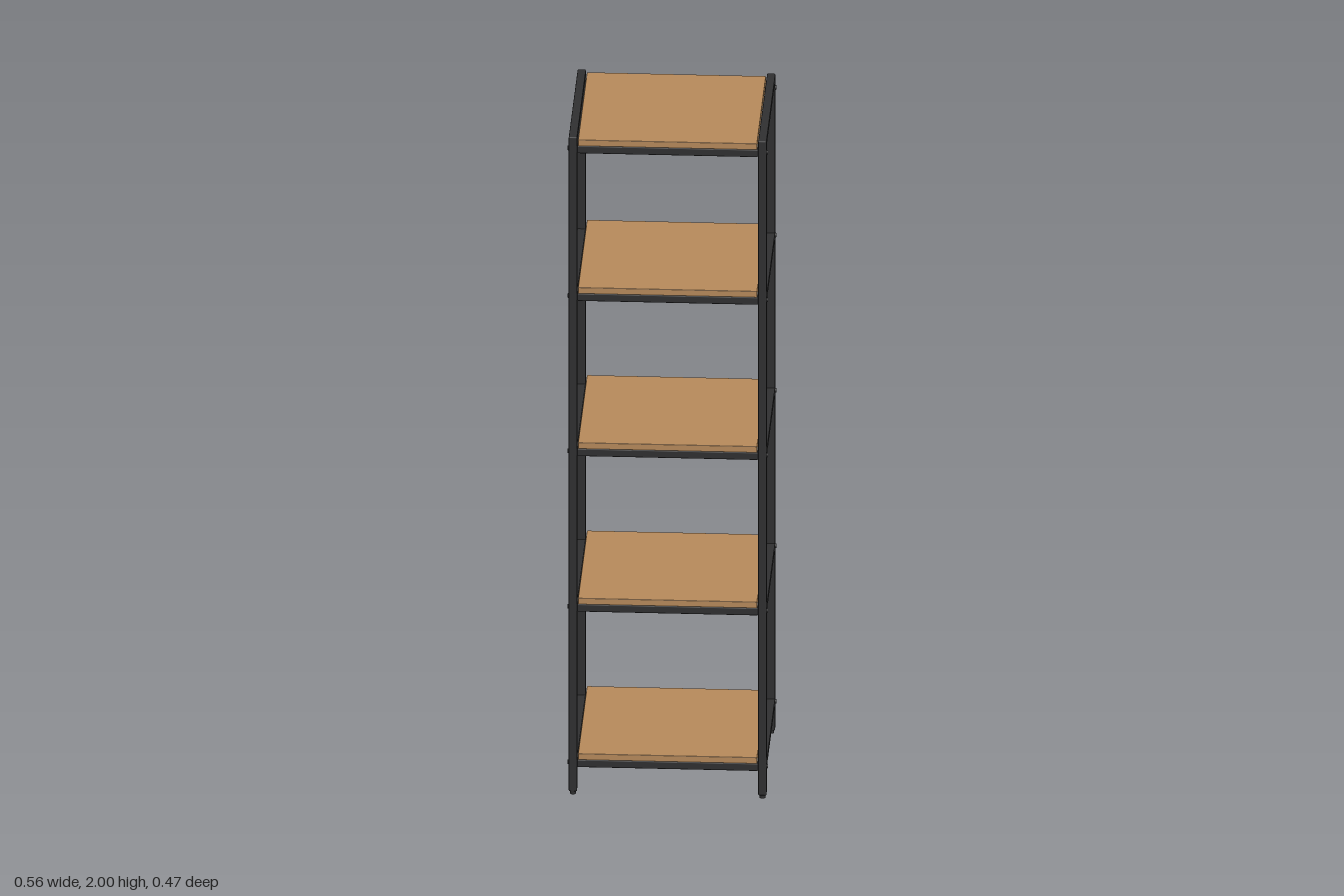
import * as THREE from 'three';
import { RoundedBoxGeometry } from 'three/addons/geometries/RoundedBoxGeometry.js';

export function createModel() {
  const model = new THREE.Group();
  model.name = 'shelvingUnit';
  const metal = new THREE.MeshStandardMaterial({ color: 0x2f2f30 });
  metal.name = 'darkMetal';
  const wood = new THREE.MeshStandardMaterial({ color: 0xb5895a });
  wood.name = 'warmWood';

  const T = 0.023;           // tube thickness
  const PX = 0.2635;         // post centre in x
  const PZ = 0.221;          // post centre in z
  const SIDES = [-1, 1];

  const add = (name, geometry, material, x, y, z, parent = model) => {
    const mesh = new THREE.Mesh(geometry, material);
    mesh.name = name;
    mesh.position.set(x, y, z);
    parent.add(mesh);
    return mesh;
  };
  const tube = (w, h, d) => new RoundedBoxGeometry(w, h, d, 2, 0.003);

  // Four uprights with small glide feet
  const postGeo = tube(T, 1.99, T);
  const footGeo = new THREE.CylinderGeometry(0.0095, 0.0085, 0.014, 20);
  for (const sx of SIDES) for (const sz of SIDES) {
    add('post', postGeo, metal, sx * PX, 1.005, sz * PZ);
    add('foot', footGeo, metal, sx * PX, 0.007, sz * PZ);
  }

  // Top side rails close each end frame
  const topRailGeo = tube(T, T, PZ * 2 + T);
  for (const sx of SIDES) add('topRail', topRailGeo, metal, sx * PX, 2 - T / 2, 0);

  // Shelves: wooden board on front and back bars, side rails between posts
  const boardGeo = new RoundedBoxGeometry(0.498, 0.019, 0.462, 2, 0.002);
  const crossBarGeo = tube(0.503, T, T);
  const sideRailGeo = tube(T, T, PZ * 2 - T + 0.004);
  const boltGeo = new THREE.CylinderGeometry(0.006, 0.0075, 0.004, 16);
  [0.125, 0.598, 1.071, 1.543, 1.992].forEach((top, i) => {
    const shelf = new THREE.Group();
    shelf.name = 'shelf' + (i + 1);
    model.add(shelf);
    const barY = top - 0.019 - T / 2 + 0.001;
    add('board', boardGeo, wood, 0, top - 0.0095, 0, shelf);
    for (const s of SIDES) {
      add('crossBar', crossBarGeo, metal, 0, barY, s * PZ, shelf);
      if (i < 4) add('sideRail', sideRailGeo, metal, s * PX, barY, 0, shelf);
      // Bolt heads on the outer faces of the posts
      for (const sz of SIDES) {
        const bolt = add('bolt', boltGeo, metal, s * (PX + T / 2 + 0.0015), barY, sz * PZ, shelf);
        bolt.rotation.z = -s * Math.PI / 2;
      }
    }
  });

  return model;
}
